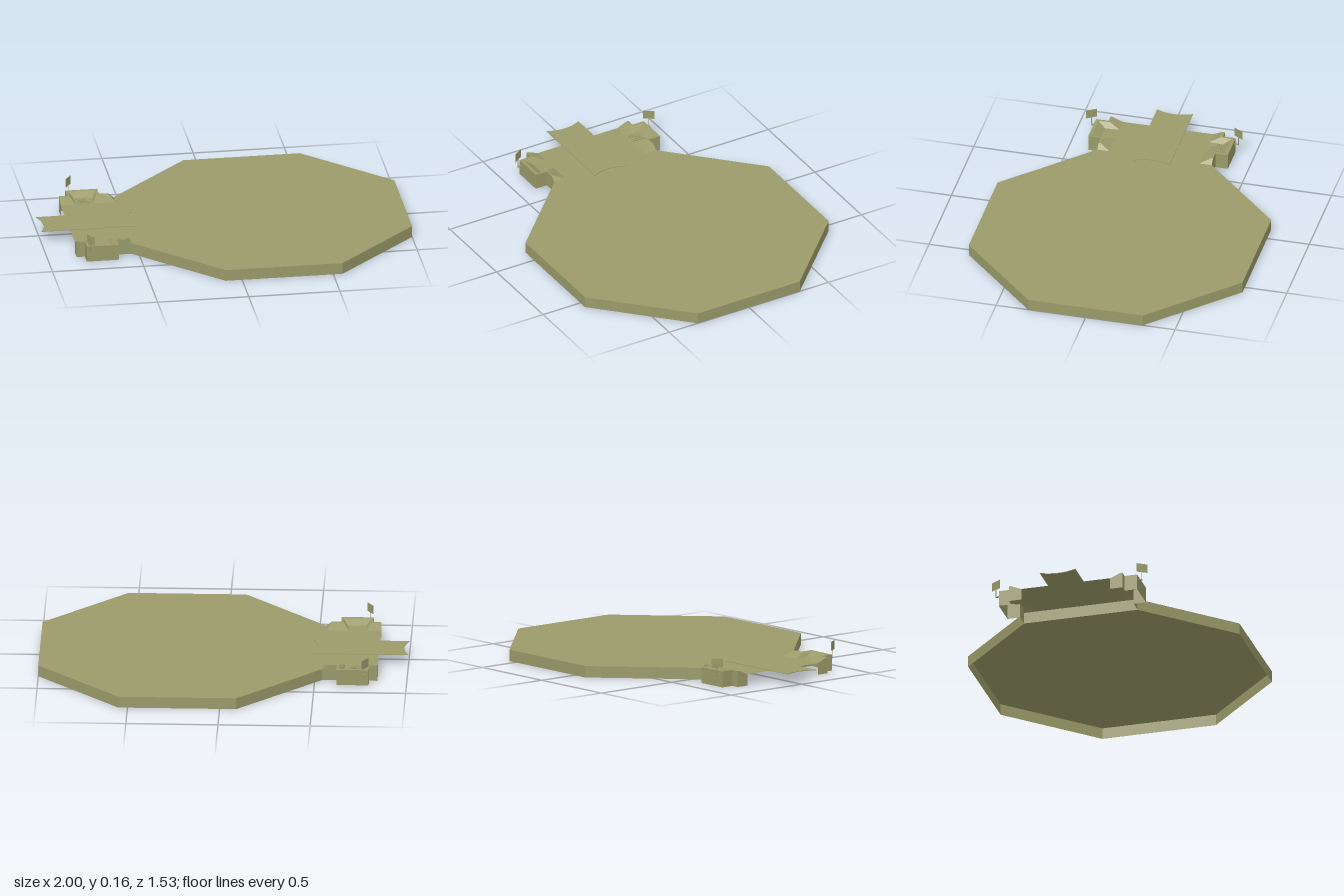
import * as THREE from 'three';

const LOW = 0.063, HIGH = 0.088;
const olive = new THREE.MeshStandardMaterial({ color: 0x9a9a6a, flatShading: true, side: THREE.DoubleSide });

function add(parent, name, geometry, x = 0, y = 0, z = 0) {
  const mesh = new THREE.Mesh(geometry, olive);
  mesh.name = name;
  mesh.position.set(x, y, z);
  parent.add(mesh);
  return mesh;
}

// Flat faces, each a convex loop of [x, y, z] corners
function faces(loops) {
  const pos = [];
  for (const p of loops)
    for (let i = 1; i < p.length - 1; i++) pos.push(...p[0], ...p[i], ...p[i + 1]);
  const g = new THREE.BufferGeometry();
  g.setAttribute('position', new THREE.Float32BufferAttribute(pos, 3));
  g.computeVertexNormals();
  return g;
}

// Horizontal plate from an [x, z] outline
function plate(outline, y) {
  const shape = new THREE.Shape(outline.map(([x, z]) => new THREE.Vector2(x, -z)));
  return new THREE.ShapeGeometry(shape).rotateX(-Math.PI / 2).translate(0, y, 0);
}

// Upright wall panels between neighbouring [x, z] points
function walls(line, top) {
  return faces(line.slice(1).map(([x, z], i) => {
    const [px, pz] = line[i];
    return [[px, 0, pz], [x, 0, z], [x, top, z], [px, top, pz]];
  }));
}

// One corner bastion with parapet, recess and flag, on the +z side
function bastion() {
  const g = new THREE.Group();
  const lo = (x, z) => [x, LOW, z], hi = (x, z) => [x, HIGH, z];
  const A = lo(-0.76, 0.25), B = lo(-0.755, 0.33), C = lo(-0.655, 0.33), D = lo(-0.665, 0.25);
  const a = hi(-0.785, 0.31), b = hi(-0.78, 0.372), c = hi(-0.63, 0.372), d = hi(-0.635, 0.31);
  const tip = hi(-0.57, 0.31), tipOut = hi(-0.57, 0.32);

  add(g, 'recessFloor', faces([[A, B, C, D]]));
  add(g, 'parapetSlopes', faces([
    [a, b, B, A], [b, c, C, B], [c, d, D, C],
    [hi(-0.84, 0.31), a, A, lo(-0.84, 0.25)],
    [d, tip, lo(-0.54, 0.25), D],
    [tip, tipOut, lo(-0.54, 0.32), lo(-0.54, 0.25)],
  ]));
  add(g, 'parapetTop', plate([
    [-0.84, 0.31], [-0.785, 0.31], [-0.78, 0.372], [-0.63, 0.372], [-0.635, 0.31], [-0.57, 0.31],
    [-0.57, 0.32], [-0.62, 0.32], [-0.62, 0.39], [-0.795, 0.39], [-0.795, 0.32], [-0.84, 0.32],
  ], HIGH));
  add(g, 'bastionWalls', walls([
    [-0.84, 0.32], [-0.795, 0.32], [-0.795, 0.39], [-0.62, 0.39], [-0.62, 0.32], [-0.57, 0.32],
  ], HIGH));
  add(g, 'endWalls', faces([
    [[-0.84, 0, 0.25], [-0.84, 0, 0.32], hi(-0.84, 0.32), hi(-0.84, 0.31), lo(-0.84, 0.25)],
    [[-0.57, 0, 0.32], [-0.54, 0, 0.32], lo(-0.54, 0.32), tipOut],
  ]));

  // Flag panel turned diagonally on a thin pole
  add(g, 'flagPole', new THREE.CylinderGeometry(0.002, 0.002, 0.06, 6), -0.775, 0.09, 0.411);
  add(g, 'poleBracket', new THREE.BoxGeometry(0.012, 0.004, 0.024), -0.771, 0.066, 0.4);
  const flag = add(g, 'flag', new THREE.BoxGeometry(0.062, 0.049, 0.002), -0.775, 0.133, 0.411);
  flag.rotation.y = -Math.atan2(0.052, 0.034);
  return g;
}

export function createModel() {
  const model = new THREE.Group();

  // Hollow octagonal platform
  const octagon = [
    [-0.54, 0.32], [-0.09, 0.765], [0.55, 0.765], [1, 0.32],
    [1, -0.32], [0.55, -0.765], [-0.09, -0.765], [-0.54, -0.32],
  ];
  add(model, 'platformTop', plate(octagon, LOW));
  add(model, 'platformWalls', walls([...octagon, octagon[0]], LOW));

  // Gate deck joining the two bastions
  add(model, 'gateDeck', plate([[-0.84, 0.25], [-0.54, 0.25], [-0.54, -0.25], [-0.84, -0.25]], LOW));

  // Thin gangway with hollowed ends
  const gangway = new THREE.Shape();
  gangway.moveTo(-1, -0.1);
  gangway.lineTo(-0.48, -0.1);
  gangway.quadraticCurveTo(-0.53, 0, -0.48, 0.1);
  gangway.lineTo(-1, 0.1);
  gangway.quadraticCurveTo(-0.95, 0, -1, -0.1);
  const sheet = new THREE.ExtrudeGeometry(gangway, { depth: 0.003, bevelEnabled: false, curveSegments: 8 });
  add(model, 'gangway', sheet.rotateX(-Math.PI / 2), 0, 0.065, 0);

  // Mirrored bastions
  for (const side of [1, -1]) {
    const g = bastion();
    g.name = side > 0 ? 'frontBastion' : 'backBastion';
    g.scale.z = side;
    model.add(g);
  }

  // Stepped hatch in the back recess
  [0.066, 0.044, 0.024].forEach((s, i) =>
    add(model, 'hatchStep', new THREE.BoxGeometry(s, 0.004, s), -0.71, LOW + 0.002 + i * 0.004, -0.295));

  return model;
}
